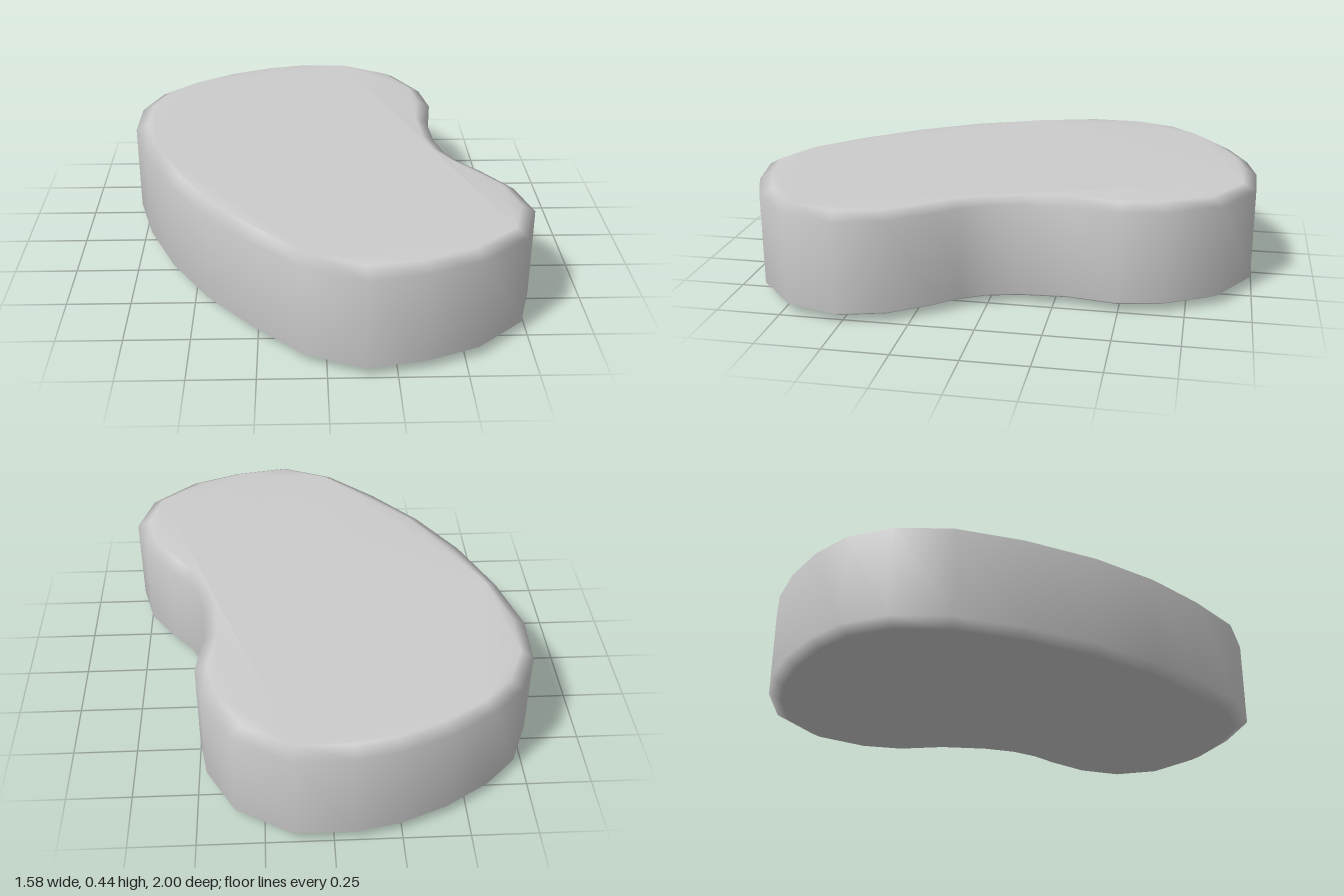
import * as THREE from 'three';
import { mergeVertices } from 'three/addons/utils/BufferGeometryUtils.js';

// Outlines as [x, z] pairs seen from above
const BODY = [
  [-0.07, -1], [0.15, -0.995], [0.36, -0.87], [0.47, -0.67], [0.5, -0.49], [0.47, -0.3], [0.48, -0.12],
  [0.51, 0], [0.56, 0.09], [0.63, 0.17], [0.74, 0.33], [0.79, 0.52], [0.73, 0.72], [0.55, 0.88],
  [0.35, 0.96], [0.13, 1], [-0.08, 0.91], [-0.27, 0.73], [-0.45, 0.52], [-0.6, 0.28], [-0.72, 0],
  [-0.79, -0.26], [-0.785, -0.48], [-0.71, -0.66], [-0.59, -0.78], [-0.42, -0.89], [-0.24, -0.965],
];
const BONE = [
  [0.01, 0.22], [0.13, 0.22], [0.28, 0.31], [0.33, 0.41], [0.33, 0.49], [0.28, 0.6],
  [0.2, 0.66], [0.06, 0.66], [-0.05, 0.58], [-0.11, 0.49], [-0.13, 0.38], [-0.08, 0.3],
];
const MARROW = [
  [0.03, 0.38], [0.07, 0.365], [0.13, 0.38], [0.18, 0.44], [0.18, 0.49], [0.12, 0.52], [0.06, 0.5], [0.02, 0.43],
];

const toShape = (pts) => new THREE.Shape(pts.map(([x, z]) => new THREE.Vector2(x, -z)));

export function createModel() {
  const group = new THREE.Group();
  const material = new THREE.MeshStandardMaterial({ color: 0xcccccc });
  const thin = new THREE.MeshStandardMaterial({ color: 0xcccccc, side: THREE.DoubleSide });

  const add = (name, geometry, mat, y) => {
    geometry.rotateX(-Math.PI / 2);
    const mesh = new THREE.Mesh(geometry, mat);
    mesh.name = name;
    mesh.position.y = y;
    group.add(mesh);
  };

  // Thick slab with a single soft bevel, smooth shaded
  const bottom = 0.013, top = 0.425, bevel = 0.027;
  let slab = new THREE.ExtrudeGeometry(toShape(BODY), {
    depth: top - bottom - 2 * bevel, bevelThickness: bevel, bevelSize: 0.05, bevelOffset: -0.05, bevelSegments: 1,
  });
  slab.deleteAttribute('normal');
  slab.deleteAttribute('uv');
  slab = mergeVertices(slab, 1e-4);
  slab.computeVertexNormals();
  add('meatSlab', slab, material, bottom + bevel);

  // Thin bone and marrow faces on both cut sides
  add('boneTop', new THREE.ShapeGeometry(toShape(BONE)), thin, top + 0.006);
  add('marrowTop', new THREE.ShapeGeometry(toShape(MARROW)), thin, top + 0.012);
  add('boneBottom', new THREE.ShapeGeometry(toShape(BONE)), thin, 0.006);
  add('marrowBottom', new THREE.ShapeGeometry(toShape(MARROW)), thin, 0);
  return group;
}
